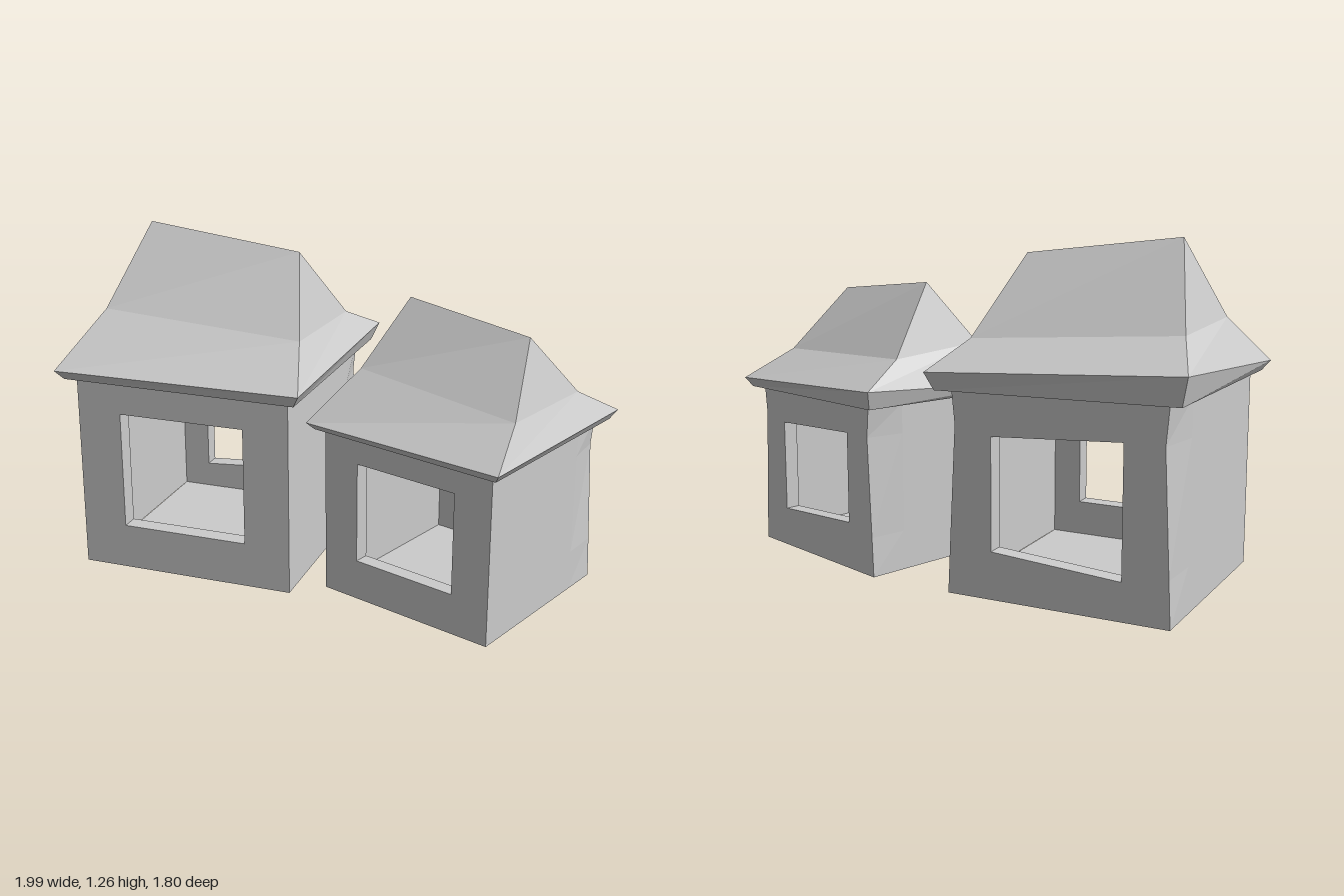
import * as THREE from 'three';

const V = (x, y, z) => new THREE.Vector3(x, y, z);

// Flat-shaded mesh from quads given as four corners, counter-clockwise from the visible side
function quadMesh(name, quads) {
  const pos = [];
  const tri = (a, b, c) => {
    if (a.equals(b) || b.equals(c) || a.equals(c)) return;
    for (const p of [a, b, c]) pos.push(p.x, p.y, p.z);
  };
  for (const [a, b, c, d] of quads) {
    tri(a, b, c);
    tri(a, c, d);
  }
  const geo = new THREE.BufferGeometry();
  geo.setAttribute('position', new THREE.Float32BufferAttribute(pos, 3));
  geo.computeVertexNormals();
  const mesh = new THREE.Mesh(geo, new THREE.MeshStandardMaterial({ color: 0xcccccc, flatShading: true }));
  mesh.name = name;
  return mesh;
}

// Corners run left, front, right, back; windows are on the sides left-front and right-back
function house(name, h) {
  const group = new THREE.Group();
  group.name = name;
  const [cx, cz] = h.centre;
  const scaled = (i, s, y) => V(cx + (h.eave[i][0] - cx) * s, y, cz + (h.eave[i][1] - cz) * s);
  const next = (i) => (i + 1) % 4;

  // Roof: soffit, slanted fascia, flared lower slope, steep upper slope to a tilted ridge
  const soffit = h.eave.map((_, i) => scaled(i, 0.945, h.soffitY[i]));
  const eave = h.eave.map(([x, z], i) => V(x, h.eaveY[i], z));
  const mid = h.mid.map((p) => V(...p));
  const high = V(...h.ridge[0]), low = V(...h.ridge[1]);
  const rings = [soffit, eave, mid, [high, low, low, high]];
  const roof = [[soffit[3], soffit[2], soffit[1], soffit[0]]];
  for (let r = 0; r < 3; r++) {
    for (let i = 0; i < 4; i++) {
      const j = next(i);
      roof.push([rings[r][i], rings[r][j], rings[r + 1][j], rings[r + 1][i]]);
    }
  }
  group.add(quadMesh(name + 'Roof', roof));

  // Walls: each side is a 3 x 3 grid, the middle cell left out for a window
  const WALL = 0.875, cols = [0, 0.205, 0.79, 1];
  const pinch = [0, 0.008, 0.03, 0.018];
  const rowY = (i, r) => (r === 3 ? h.soffitY[i] : h.rows[r]);
  const outerEdge = (i, r) => {
    const p = scaled(i, WALL, rowY(i, r));
    if (i < 2) return p;
    // the two rear corners are drawn in towards each other
    const toward = scaled(5 - i, WALL, p.y).sub(p).setY(0).normalize();
    return p.addScaledVector(toward, pinch[r] * h.size);
  };
  const t = 0.066 * h.size;
  const innerScale = WALL * (1 - t / (0.41 * h.size));
  const walls = [], inside = [], reveals = [];
  for (let s = 0; s < 4; s++) {
    const e = next(s);
    const a = scaled(s, WALL, 0), b = scaled(e, WALL, 0);
    const inward = V(0, 1, 0).cross(b.clone().sub(a)).normalize();
    const outer = [], inner = [];
    for (let r = 0; r < 4; r++) {
      const floorLift = r === 0 ? 0.04 : 0;
      const across = [1, 2].map((k) => {
        const p = a.clone().lerp(b, cols[k]);
        p.y = THREE.MathUtils.lerp(rowY(s, r), rowY(e, r), cols[k]);
        if (s === 2 && (r === 1 || r === 2)) p.y = h.rearWindow[k - 1][r - 1];
        return p;
      });
      outer.push([outerEdge(s, r), ...across, outerEdge(e, r)]);
      const back = across.map((p) => p.clone().addScaledVector(inward, t).setY(p.y + floorLift));
      inner.push([
        scaled(s, innerScale, rowY(s, r) + floorLift), ...back,
        scaled(e, innerScale, rowY(e, r) + floorLift),
      ]);
    }
    const hasWindow = s % 2 === 0;
    for (let r = 0; r < 3; r++) {
      for (let k = 0; k < 3; k++) {
        if (hasWindow && r === 1 && k === 1) continue;
        walls.push([outer[r][k], outer[r][k + 1], outer[r + 1][k + 1], outer[r + 1][k]]);
        inside.push([inner[r][k + 1], inner[r][k], inner[r + 1][k], inner[r + 1][k + 1]]);
      }
    }
    if (hasWindow) {
      const hole = (g) => [g[1][1], g[1][2], g[2][2], g[2][1]];
      const o = hole(outer), n = hole(inner);
      for (let k = 0; k < 4; k++) reveals.push([o[k], o[next(k)], n[next(k)], n[k]]);
    }
  }
  // Underside and room floor
  walls.push([3, 2, 1, 0].map((i) => outerEdge(i, 0)));
  inside.push([0, 1, 2, 3].map((i) => scaled(i, innerScale, h.rows[0] + 0.04)));
  group.add(quadMesh(name + 'Walls', walls));
  group.add(quadMesh(name + 'RoomInterior', inside));
  group.add(quadMesh(name + 'WindowReveals', reveals));
  return group;
}

export function createModel() {
  const model = new THREE.Group();
  model.name = 'twoHuts';
  model.add(house('largeHut', {
    size: 1,
    centre: [-0.35, -0.255],
    eave: [[-1, -0.11], [-0.195, 0.395], [0.302, -0.4], [-0.505, -0.905]],
    eaveY: [0.785, 0.79, 0.81, 0.87],
    soffitY: [0.75, 0.745, 0.745, 0.765],
    mid: [[-0.79, 0.97, -0.26], [-0.14, 0.92, 0.16], [0.13, 0.905, -0.26], [-0.545, 0.965, -0.68]],
    ridge: [[-0.595, 1.265, -0.395], [-0.09, 1.19, -0.08]],
    rows: [0.01, 0.18, 0.625],
    rearWindow: [[0.185, 0.595], [0.15, 0.625]],
  }));
  model.add(house('smallHut', {
    size: 0.86,
    centre: [0.425, 0.333],
    eave: [[-0.14, 0.265], [0.355, 0.9], [0.99, 0.4], [0.495, -0.235]],
    eaveY: [0.65, 0.65, 0.66, 0.71],
    soffitY: [0.625, 0.62, 0.625, 0.64],
    mid: [[0.075, 0.82, 0.205], [0.47, 0.765, 0.73], [0.8, 0.765, 0.465], [0.39, 0.8, -0.065]],
    ridge: [[0.27, 1.06, 0.155], [0.58, 1, 0.545]],
    rows: [0, 0.15, 0.525],
    rearWindow: [[0.15, 0.5], [0.18, 0.525]],
  }));
  return model;
}
